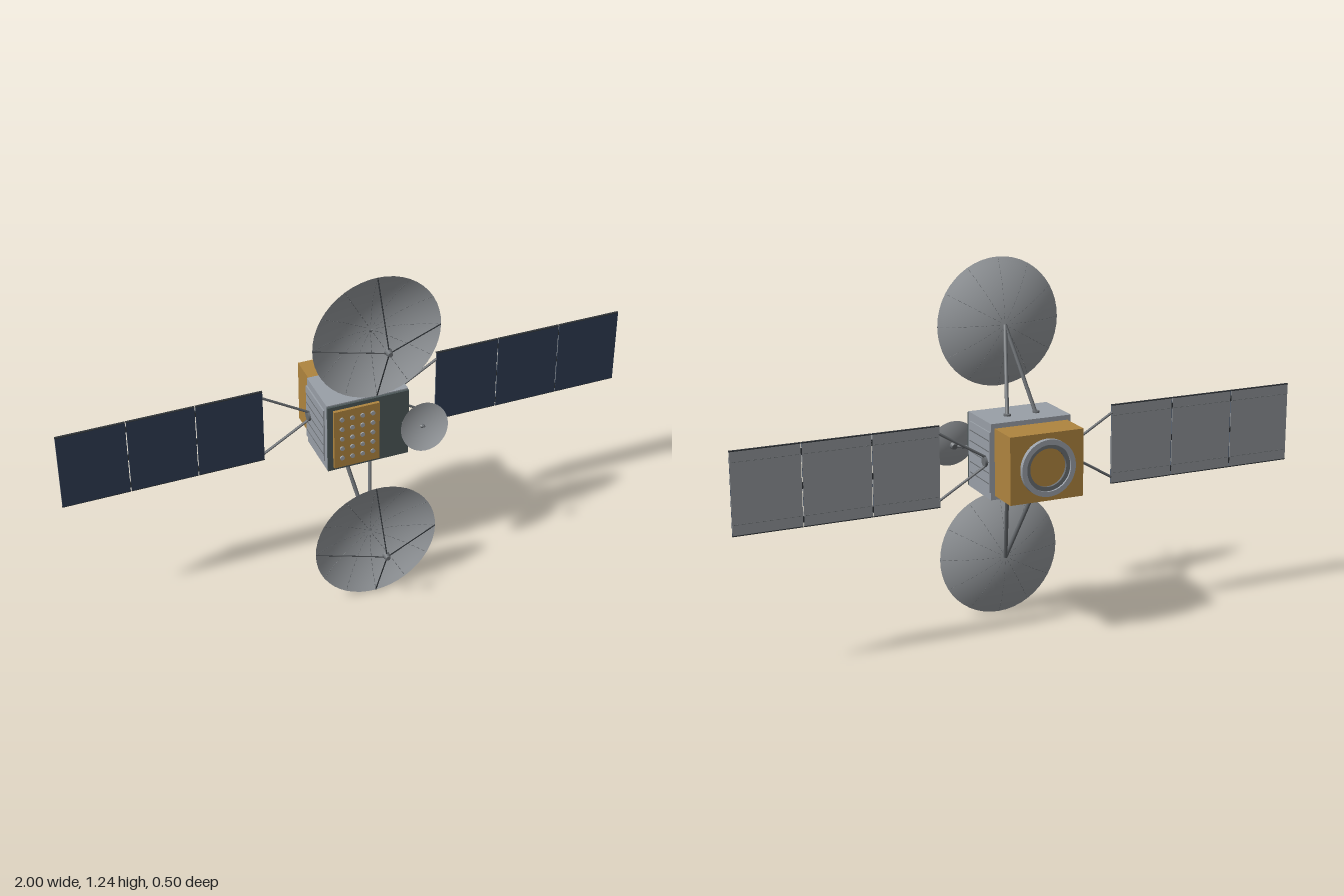
import * as THREE from 'three';

const mat = (name, color, side = THREE.FrontSide) => {
  const m = new THREE.MeshStandardMaterial({ color, side });
  m.name = name;
  return m;
};

export function createModel() {
  const grey = mat('bodyGrey', 0x9aa0a8);
  const dishGrey = mat('dishGrey', 0xa0a4a8, THREE.DoubleSide);
  const strutGrey = mat('strutGrey', 0x6a6e72);
  const dark = mat('darkLine', 0x303438);
  const slate = mat('slatePlate', 0x4c5758);
  const gold = mat('goldFoil', 0xb0853f);
  const navy = mat('solarNavy', 0x2c3a50);
  const backGrey = mat('panelBackGrey', 0x8d9195);

  const root = new THREE.Group();
  root.name = 'satellite';
  const CY = 0.623;
  const V = (x, y, z) => new THREE.Vector3(x, y, z);

  const add = (name, geo, material, x = 0, y = 0, z = 0, parent = root) => {
    const m = new THREE.Mesh(geo, material);
    m.name = name;
    m.position.set(x, y, z);
    parent.add(m);
    return m;
  };
  const box = (name, material, w, h, d, x, y, z, parent) =>
    add(name, new THREE.BoxGeometry(w, h, d), material, x, y, z, parent);
  const rod = (name, material, a, b, r, parent, sides = 8) => {
    const m = add(name, new THREE.CylinderGeometry(r, r, a.distanceTo(b), sides), material, 0, 0, 0, parent);
    m.position.copy(a).lerp(b, 0.5);
    m.quaternion.setFromUnitVectors(V(0, 1, 0), b.clone().sub(a).normalize());
    return m;
  };
  // Cylinder lying along z, front end radius r1, rear end radius r2
  const puck = (name, material, r1, r2, depth, x, y, z, parent, sides = 16) => {
    const g = new THREE.CylinderGeometry(r1, r2, depth, sides).rotateX(Math.PI / 2);
    return add(name, g, material, x, y, z, parent);
  };
  // Parabolic bowl opening towards +z, vertex at the origin
  const bowl = (R, depth) => {
    const pts = [];
    for (let i = 0; i <= 12; i++) pts.push(new THREE.Vector2((R * i) / 12, depth * (i / 12) ** 2));
    return new THREE.LatheGeometry(pts, 48).rotateX(Math.PI / 2);
  };

  // Main body, rear foil block and front plates
  box('body', grey, 0.286, 0.256, 0.18, 0, CY + 0.003, -0.025);
  box('rearBlock', gold, 0.26, 0.226, 0.12, 0, CY + 0.002, -0.174);
  box('frontPlate', slate, 0.286, 0.25, 0.008, 0, CY + 0.002, 0.069);
  box('antennaPanel', gold, 0.16, 0.222, 0.012, -0.045, CY + 0.002, 0.078);
  for (let i = 0; i < 4; i++)
    for (let j = 0; j < 5; j++)
      puck('antennaElement', dishGrey, 0.008, 0.008, 0.006, -0.098 + i * 0.036, CY + 0.004 + (j - 2) * 0.038, 0.086, root, 10);

  // Rear thrust ring with a stepped wall
  const ringPoints = [[0.064, 0], [0.064, 0.016], [0.084, 0.016], [0.084, 0.02], [0.095, 0.02], [0.095, 0]];
  const ringShape = (outer, inner, depth) => {
    const s = new THREE.Shape().absarc(0, 0, outer, 0, Math.PI * 2);
    s.holes.push(new THREE.Path().absarc(0, 0, inner, 0, Math.PI * 2, true));
    return new THREE.ExtrudeGeometry(s, { depth, bevelEnabled: false, curveSegments: 40 });
  };
  add('rearRing', ringShape(ringPoints[4][0], 0.078, 0.017), grey, 0, CY + 0.002, -0.25);
  add('rearRingInner', ringShape(0.079, ringPoints[0][0], 0.01), strutGrey, 0, CY + 0.002, -0.243);

  for (const s of [-1, 1]) {
    // Side radiator with louvre lines
    box('sideRadiator', grey, 0.006, 0.202, 0.16, s * 0.145, CY + 0.002, -0.034);
    for (let i = -2; i <= 2; i++)
      box('louvreLine', strutGrey, 0.002, 0.003, 0.154, s * 0.148, CY + 0.002 + i * 0.036, -0.034);

    // Solar wing: hub, yoke and three hinged panels
    const wing = new THREE.Group();
    wing.name = s > 0 ? 'leftSolarWing' : 'rightSolarWing';
    root.add(wing);
    const z = -0.085;
    rod('wingHub', strutGrey, V(s * 0.14, CY, z), V(s * 0.156, CY, z), 0.017, wing, 20);
    for (const v of [-1, 1])
      rod('yokeArm', strutGrey, V(s * 0.148, CY + v * 0.014, z), V(s * 0.312, CY + v * 0.112, z), 0.0045, wing);
    for (let i = 0; i < 3; i++) {
      const x = s * (0.424 + i * 0.231);
      box('panelBack', backGrey, 0.227, 0.27, 0.004, x, CY + 0.002, z - 0.001, wing);
      box('solarCells', navy, 0.227, 0.27, 0.003, x, CY + 0.002, z + 0.0025, wing);
      for (const v of [-1, 1]) {
        box('panelEdge', dark, 0.228, 0.003, 0.008, x, CY + 0.002 + v * 0.1355, z, wing);
        for (let k = 0; k < 10; k++)
          box('stringerDash', strutGrey, 0.013, 0.002, 0.001, x + (k - 4.5) * 0.0225, CY + 0.002 + v * 0.1, z - 0.0033, wing);
      }
      if (i < 2)
        for (const v of [-1, 0, 1])
          box('panelHinge', dark, 0.005, 0.02, 0.006, x + s * 0.1155, CY + v * 0.11, z, wing);
    }

    // Large dish above (s = 1) and below (s = -1)
    const dish = new THREE.Group();
    dish.name = s > 0 ? 'upperDish' : 'lowerDish';
    const dy = CY + s * 0.404;
    dish.position.set(0, dy, 0.088);
    root.add(dish);
    const R = 0.218, D = 0.055;
    add('reflector', bowl(R, D), dishGrey, 0, 0, 0, dish);
    for (let k = 0; k < 12; k++) {
      const a = (k * Math.PI) / 6;
      // Dashed seam segments following the bowl
      for (let i = 1; i < 12; i++) {
        const at = t => V(Math.cos(a) * R * t, Math.sin(a) * R * t, D * t * t + 0.0005);
        rod('reflectorSeam', strutGrey, at(i / 12), at((i + 0.6) / 12), 0.001, dish, 4);
      }
    }
    for (let k = 0; k < 4; k++) {
      const a = (k * Math.PI) / 2;
      rod('feedStrut', dark, V(Math.cos(a) * R * 0.995, Math.sin(a) * R * 0.995, D), V(0, 0, 0.152), 0.002, dish, 6);
    }
    puck('feedHorn', strutGrey, 0.008, 0.013, 0.022, 0, 0, 0.151, dish, 12);

    // Twin support arms and their feet
    for (const h of [-1, 1]) {
      rod('dishArm', strutGrey, V(h * 0.052, CY + s * 0.127, -0.042), V(0, dy, 0.086), 0.007);
      add('armFoot', new THREE.CylinderGeometry(0.012, 0.012, 0.008, 14), strutGrey, h * 0.052, CY + 0.003 + s * 0.13, -0.042);
    }
  }

  // Small steerable dish on the front left corner
  rod('smallDishArm', strutGrey, V(0.115, CY + 0.003, 0.062), V(0.176, CY + 0.003, 0.118), 0.006);
  const small = new THREE.Group();
  small.name = 'smallDish';
  small.position.set(0.176, CY + 0.005, 0.115);
  small.rotation.x = -0.23;
  root.add(small);
  add('smallReflector', bowl(0.084, 0.014), dishGrey, 0, 0, 0, small);
  puck('smallFeed', strutGrey, 0.004, 0.006, 0.012, 0, 0, 0.006, small, 10);
  puck('smallDishMount', strutGrey, 0.014, 0.01, 0.012, 0, 0, -0.006, small);

  return root;
}
